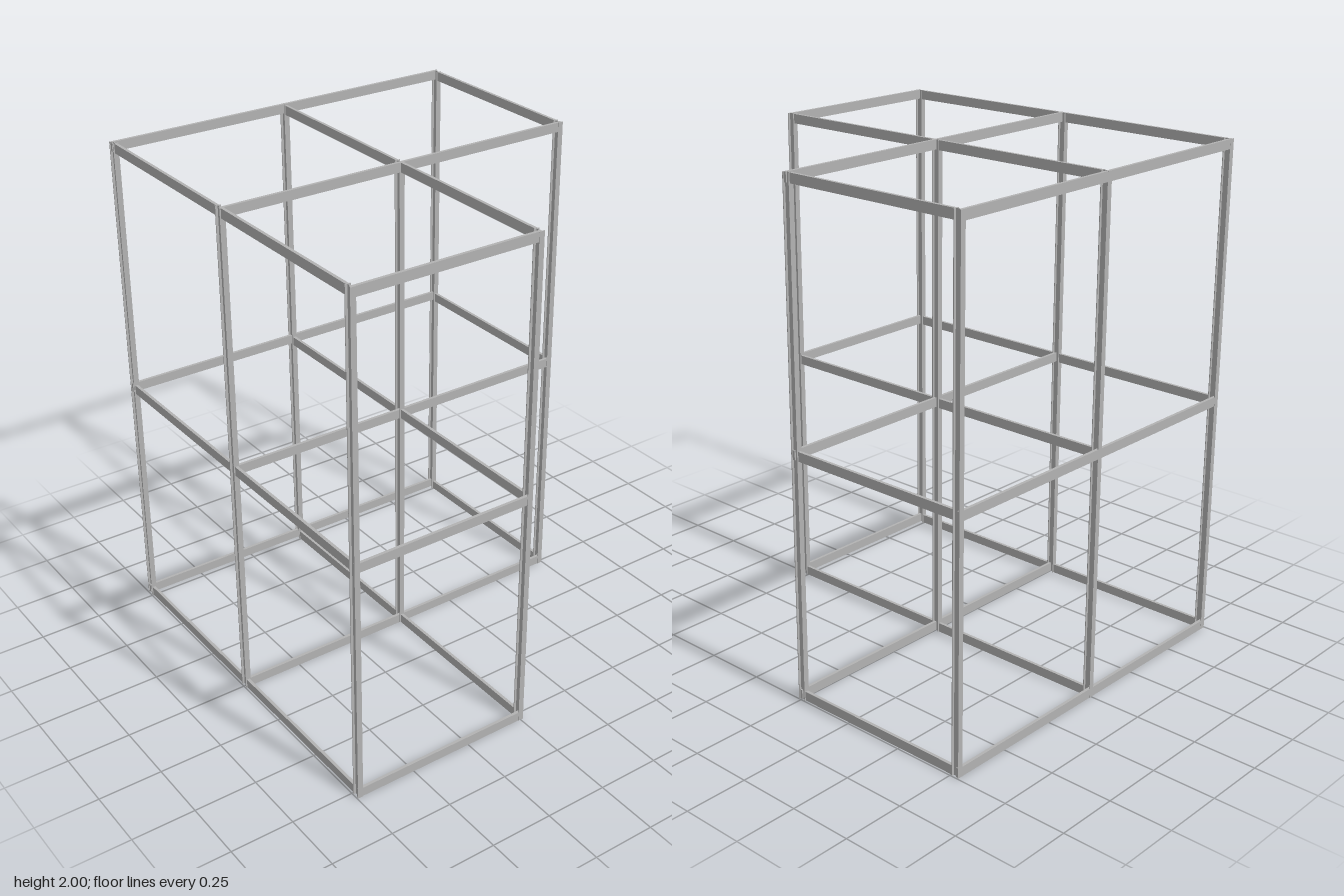
import * as THREE from 'three';

const BEAM_H = 0.037, BEAM_W = 0.012;
const POST_X = 0.031, POST_Z = 0.022, PLATE = 0.003;
const LEVELS = [0, 0.963, 1.963]; // undersides of the beams
const X = 0.77, Z = 0.736;

export function createModel() {
  const steel = new THREE.MeshStandardMaterial({ color: 0xb2b2b2 });
  steel.name = 'grey steel';
  const model = new THREE.Group();
  model.name = 'lShapedFrame';

  // H-section post: flanges face x, web runs along x
  const a = POST_X / 2, b = POST_Z / 2, t = PLATE, w = PLATE / 2;
  const quarter = [[a, b], [a - t, b], [a - t, w]];
  const mirror = (sx, sy) => quarter.map(([x, y]) => new THREE.Vector2(x * sx, y * sy));
  const section = new THREE.Shape([
    ...mirror(1, 1), ...mirror(-1, 1).reverse(),
    ...mirror(-1, -1), ...mirror(1, -1).reverse(),
  ]);
  const postGeo = new THREE.ExtrudeGeometry(section, { depth: 2, bevelEnabled: false });
  postGeo.rotateX(-Math.PI / 2);

  // Posts on the grid, leaving out the right back corner
  for (const x of [-X, -0.002, X]) {
    for (const z of [-Z, 0, Z]) {
      if (x > 0.5 && z < -0.5) continue;
      const post = new THREE.Mesh(postGeo, steel);
      post.name = 'post';
      post.position.set(x, 0, z);
      model.add(post);
    }
  }

  function beam(name, x0, x1, z0, z1, y) {
    const mesh = new THREE.Mesh(new THREE.BoxGeometry(x1 - x0, BEAM_H, z1 - z0), steel);
    mesh.name = name;
    mesh.position.set((x0 + x1) / 2, y + BEAM_H / 2, (z0 + z1) / 2);
    model.add(mesh);
  }

  const h = BEAM_W / 2;
  for (const y of LEVELS) {
    // Cross beams between the posts
    for (const z of [-Z, 0, Z]) {
      beam('crossBeam', -X + a, -0.002 - a, z - h, z + h, y);
      if (z > -0.5) beam('crossBeam', -0.002 + a, X - a, z - h, z + h, y);
    }
    // Long beams running front to back, set to one side of the posts
    beam('longBeam', -0.785, -0.773, -0.743, 0.743, y);
    beam('longBeam', 0, 0.012, -0.743, 0.743, y);
    beam('longBeam', 0.772, 0.784, 0, 0.743, y);
  }
  return model;
}
